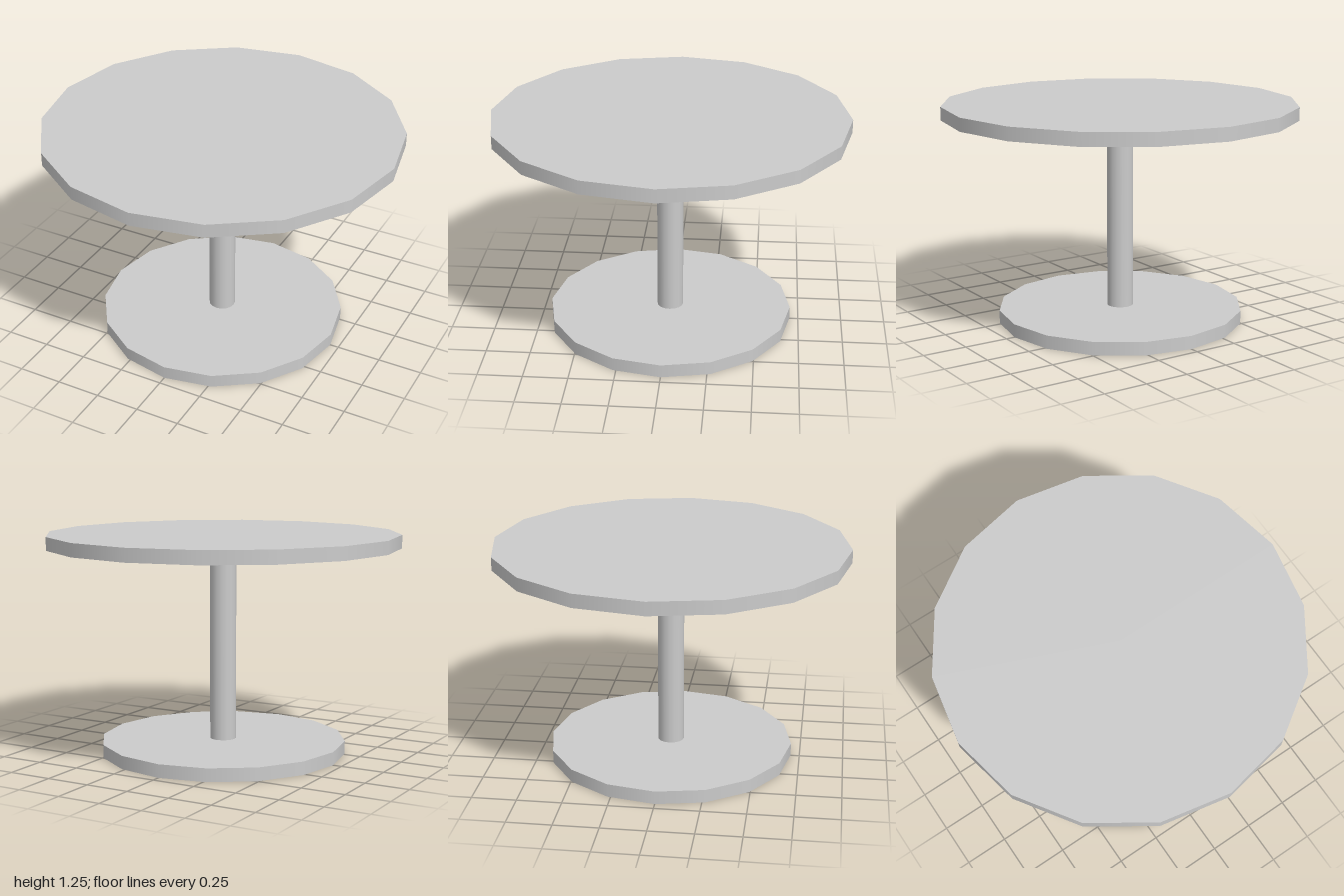
import * as THREE from 'three';

export function createModel() {
  const group = new THREE.Group();
  const material = new THREE.MeshStandardMaterial({ color: 0xcccccc });
  const sides = 16;

  // Upright disc or post between two heights
  function addCylinder(name, radius, bottom, top) {
    const geometry = new THREE.CylinderGeometry(radius, radius, top - bottom, sides);
    const mesh = new THREE.Mesh(geometry, material);
    mesh.name = name;
    mesh.position.y = (bottom + top) / 2;
    group.add(mesh);
  }

  addCylinder('base', 0.7, 0, 0.075);
  addCylinder('column', 0.075, 0.075, 1.18);
  addCylinder('tableTop', 1, 1.18, 1.255);

  return group;
}
